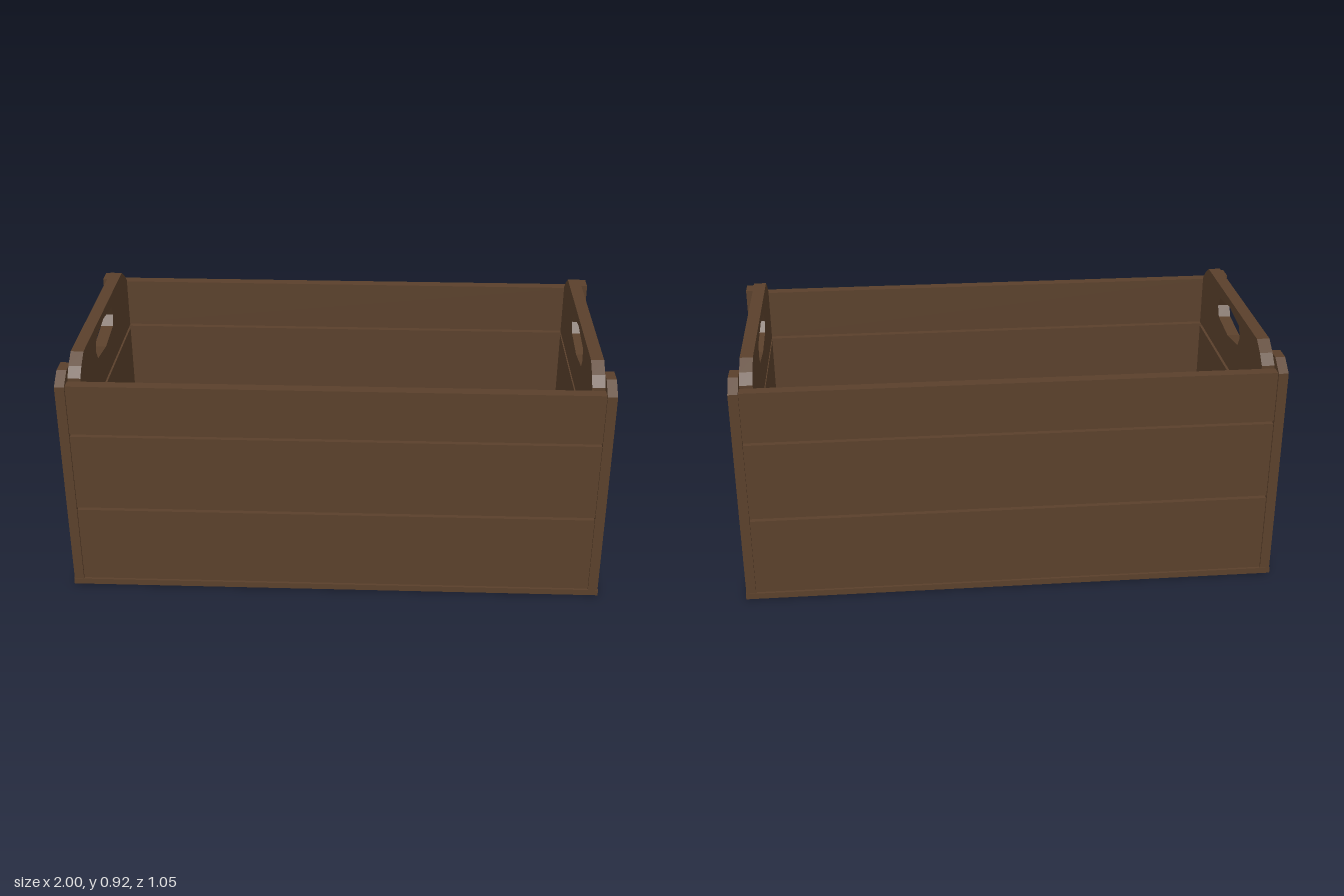
import * as THREE from 'three';

export function createModel() {
  const crate = new THREE.Group();
  crate.name = 'crate';
  const wood = new THREE.MeshStandardMaterial({ color: 0x5a402b, flatShading: true });

  // Box given by its min and max on each axis
  function board(name, [x0, x1], [y0, y1], [z0, z1]) {
    const mesh = new THREE.Mesh(new THREE.BoxGeometry(x1 - x0, y1 - y0, z1 - z0), wood);
    mesh.position.set((x0 + x1) / 2, (y0 + y1) / 2, (z0 + z1) / 2);
    mesh.name = name;
    crate.add(mesh);
  }

  const outline = (points) => points.map(([z, y]) => new THREE.Vector2(-z, y));

  // Profile of [z, y] points, extruded along x from x0 to x1
  function profileBoard(name, points, x0, x1, hole) {
    const shape = new THREE.Shape(outline(points));
    if (hole) shape.holes.push(new THREE.Path(outline(hole)));
    const geometry = new THREE.ExtrudeGeometry(shape, { depth: x1 - x0, bevelEnabled: false });
    geometry.rotateY(Math.PI / 2).translate(x0, 0, 0);
    const mesh = new THREE.Mesh(geometry, wood);
    mesh.name = name;
    crate.add(mesh);
  }

  // Long side slats and the skid under each side
  for (const [side, s] of [['front', 1], ['back', -1]]) {
    const z = s > 0 ? [0.475, 0.517] : [-0.517, -0.475];
    for (const y of [[0.02, 0.327], [0.338, 0.638], [0.648, 0.842]]) {
      board(`${side}Slat`, [-0.965, 0.965], y, z);
    }
    board(`${side}Skid`, [-1, 1], [0, 0.023], s > 0 ? [0.396, 0.527] : [-0.527, -0.396]);
  }

  // Floor slats
  for (const z of [[0.15, 0.372], [-0.12, 0.1], [-0.378, -0.155]]) {
    board('floorSlat', [-0.96, 0.96], [0.036, 0.06], z);
  }

  const handle = [
    [0.195, 0.83], [0.17, 0.79], [0.02, 0.77], [-0.13, 0.79],
    [-0.155, 0.83], [-0.13, 0.87], [0.02, 0.89], [0.17, 0.87],
  ];
  const handleBoard = [
    [0.468, 0.648], [-0.468, 0.648], [-0.468, 0.85], [-0.43, 0.885],
    [-0.378, 0.919], [0.384, 0.919], [0.435, 0.885], [0.468, 0.85],
  ];

  for (const [side, s] of [['left', 1], ['right', -1]]) {
    const inner = s > 0 ? [0.914, 0.961] : [-0.961, -0.914];
    const outer = s > 0 ? [0.962, 0.998] : [-0.998, -0.962];

    // End panel: two plain slats and a handle board
    board(`${side}EndSlat`, inner, [0.06, 0.316], [-0.468, 0.468]);
    board(`${side}EndSlat`, inner, [0.326, 0.632], [-0.468, 0.468]);
    profileBoard(`${side}HandleBoard`, handleBoard, ...inner, handle);

    // Corner posts with clipped outer tops
    const post = [[0.4, 0.023], [0.4, 0.882], [0.465, 0.882], [0.525, 0.842], [0.525, 0.023]];
    profileBoard(`${side}FrontPost`, post, ...outer);
    profileBoard(`${side}BackPost`, post.map(([z, y]) => [-z, y]), ...outer);
  }
  return crate;
}
